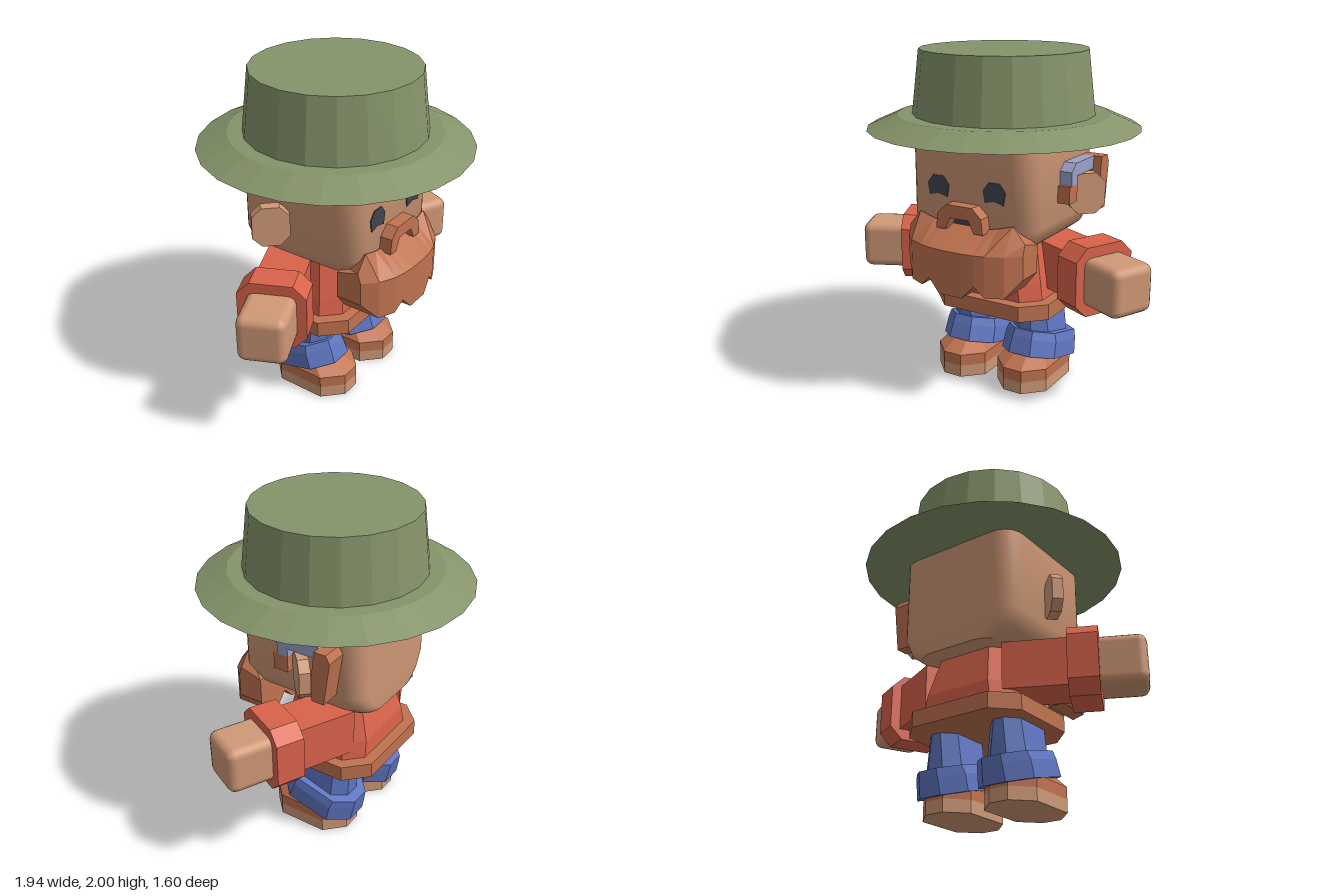
import * as THREE from 'three';
import { toCreasedNormals } from 'three/addons/utils/BufferGeometryUtils.js';
import { RoundedBoxGeometry } from 'three/addons/geometries/RoundedBoxGeometry.js';

const V = (x, y, z) => new THREE.Vector3(x, y, z);

function material(name, color) {
  const m = new THREE.MeshStandardMaterial({ color });
  m.name = name;
  return m;
}

// Horizontal rectangle with cut (seg 1) or rounded corners
function ring(y, x0, x1, z0, z1, c, seg = 1) {
  const pts = [];
  const corners = [[x1 - c, z1 - c], [x0 + c, z1 - c], [x0 + c, z0 + c], [x1 - c, z0 + c]];
  corners.forEach(([cx, cz], k) => {
    for (let i = 0; i <= seg; i++) {
      const a = (k + i / seg) * Math.PI / 2;
      pts.push(V(cx + c * Math.cos(a), y, cz + c * Math.sin(a)));
    }
  });
  return pts;
}

function circle(y, r, n) {
  return Array.from({ length: n }, (_, i) => {
    const a = i / n * Math.PI * 2;
    return V(r * Math.cos(a), y, r * Math.sin(a));
  });
}

// Closed flat-shaded skin over stacked loops
function loft(rings) {
  const out = [];
  const tri = (...ps) => ps.forEach(p => out.push(p.x, p.y, p.z));
  const n = rings[0].length;
  const mid = r => r.reduce((s, p) => s.add(p), V(0, 0, 0)).divideScalar(n);
  const last = rings[rings.length - 1];
  const cLow = mid(rings[0]), cHigh = mid(last);
  for (let i = 0; i < n; i++) {
    const j = (i + 1) % n;
    for (let k = 0; k + 1 < rings.length; k++) {
      const a = rings[k], b = rings[k + 1];
      tri(a[i], b[i], b[j]);
      tri(a[i], b[j], a[j]);
    }
    tri(cLow, rings[0][i], rings[0][j]);
    tri(cHigh, last[j], last[i]);
  }
  const g = new THREE.BufferGeometry();
  g.setAttribute('position', new THREE.Float32BufferAttribute(out, 3));
  g.computeVertexNormals();
  return g;
}

function plate(pts, depth) {
  const shape = new THREE.Shape(pts.map(p => new THREE.Vector2(...p)));
  return new THREE.ExtrudeGeometry(shape, { depth, bevelEnabled: false });
}

export function createModel() {
  const hatGreen = material('hatGreen', 0x85946a);
  const skin = material('skin', 0xcf9876);
  const red = material('shirtRed', 0xd9634b);
  const brown = material('beardBrown', 0xc07350);
  const blue = material('trouserBlue', 0x5f76c2);
  const lavender = material('deviceLavender', 0x9ca2c8);
  const dark = material('faceDark', 0x42454e);

  const model = new THREE.Group();
  const add = (name, geo, mat, parent = model) => {
    const m = new THREE.Mesh(geo, mat);
    m.name = name;
    parent.add(m);
    return m;
  };

  // Hat
  add('hatBrim', loft([circle(1.55, 0.8, 24), circle(1.63, 0.62, 24)]), hatGreen);
  add('hatCrown', loft([circle(1.62, 0.535, 20), circle(2, 0.49, 20)]), hatGreen);

  // Head, tucked in at the jaw and straight at the back
  add('head', toCreasedNormals(loft([
    ring(0.89, -0.28, 0.28, -0.41, 0.28, 0.13, 5),
    ring(0.95, -0.36, 0.36, -0.41, 0.36, 0.13, 5),
    ring(1.05, -0.41, 0.41, -0.41, 0.41, 0.13, 5),
    ring(1.57, -0.41, 0.41, -0.41, 0.41, 0.13, 5),
  ]), 0.7), skin);

  // Eyes
  const eye = [[-0.06, -0.06], [-0.03, -0.052], [0, -0.045], [0.03, -0.052], [0.06, -0.06],
    [0.072, 0.012], [0.035, 0.06], [-0.035, 0.06], [-0.072, 0.012]].reverse();
  for (const s of [-1, 1]) {
    add('eye', plate(eye, 0.008), dark).position.set(s * 0.185, 1.255, 0.408);
  }

  // Mouth and moustache
  add('mouth', plate([[-0.1, 1.03], [0.1, 1.03], [0.065, 1.11], [-0.065, 1.11]], 0.008), dark)
    .position.z = 0.41;
  add('moustache', plate([[-0.155, 1.03], [-0.095, 1.03], [-0.06, 1.1], [0.06, 1.1], [0.095, 1.03],
    [0.155, 1.03], [0.145, 1.12], [0.085, 1.175], [-0.085, 1.175], [-0.145, 1.12]], 0.085), brown)
    .position.z = 0.4;

  // Beard: columns of x, top, bottom and front depth
  const half = [[0.075, 1.05, 0.68, 0.585], [0.15, 1.05, 0.76, 0.575], [0.21, 1.06, 0.7, 0.56],
    [0.31, 1.09, 0.7, 0.515], [0.385, 1.0, 0.8, 0.44]];
  const columns = [...half.map(([x, ...r]) => [-x, ...r]).reverse(), ...half];
  add('beard', loft(columns.map(([x, top, low, z]) => [
    V(x, 0.94, z), V(x, top, 0.42), V(x, Math.min(top, 0.96), 0.28), V(x, low, 0.28), V(x, low, z),
  ])), brown);

  // Torso and belt
  add('torso', loft([
    ring(0.54, -0.33, 0.33, -0.355, 0.21, 0.1),
    ring(0.66, -0.31, 0.31, -0.35, 0.2, 0.1),
    ring(0.95, -0.25, 0.25, -0.27, 0.15, 0.09),
  ]), red);
  add('belt', loft([0.46, 0.555].map(y => ring(y, -0.39, 0.39, -0.42, 0.275, 0.13))), brown);

  for (const s of [-1, 1]) {
    // Arm, reaching out and slightly forward
    const arm = new THREE.Group();
    arm.name = s > 0 ? 'leftArm' : 'rightArm';
    arm.position.set(s * 0.615, 0.745, 0.017);
    arm.rotation.y = -s * 0.44;
    model.add(arm);
    add('sleeve', new THREE.BoxGeometry(0.46, 0.28, 0.28), red, arm).position.x = -s * 0.22;
    add('sleeveCuff', loft([-0.085, 0.085].map(y => ring(y, -0.205, 0.205, -0.2, 0.2, 0.075)))
      .rotateZ(Math.PI / 2), red, arm);
    add('hand', new RoundedBoxGeometry(0.31, 0.285, 0.285, 2, 0.05), skin, arm).position.x = s * 0.19;

    // Leg with a tilted trouser cuff
    const leg = new THREE.Group();
    leg.name = s > 0 ? 'leftLeg' : 'rightLeg';
    leg.position.x = s * 0.215;
    model.add(leg);
    add('trouserLeg', loft([
      ring(0.17, -0.14, 0.14, -0.26, 0.115, 0.08),
      ring(0.47, -0.1, 0.1, -0.26, 0.115, 0.07),
    ]), blue, leg);
    const cuff = add('trouserCuff', loft([
      ring(-0.075, -0.182, 0.182, -0.25, 0.25, 0.11),
      ring(0.025, -0.175, 0.175, -0.245, 0.24, 0.11),
      ring(0.075, -0.16, 0.16, -0.24, 0.23, 0.1),
    ]), blue, leg);
    cuff.position.set(0.003, 0.222, -0.07);
    cuff.rotation.x = -0.26;

    // Shoe
    add('shoeSole', loft([0, 0.075].map(y => ring(y, -0.17, 0.17, -0.26, 0.265, 0.11))), skin, leg);
    add('shoeUpper', loft([
      ring(0.075, -0.17, 0.17, -0.26, 0.265, 0.11),
      ring(0.145, -0.17, 0.17, -0.26, 0.265, 0.11),
      ring(0.21, -0.12, 0.12, -0.22, 0.155, 0.08),
    ]), brown, leg);

    // Ear, a chamfered slab turned outward
    const ear = add('ear', loft([-0.032, 0.032].map(y => ring(y, -0.107, 0.107, -0.12, 0.12, 0.055)))
      .rotateX(Math.PI / 2), skin);
    ear.position.set(s * 0.492, 1.19, -0.098);
    ear.rotation.y = s * Math.PI / 4;
  }

  // Hearing device on the left ear, drawn in (z, y) and extruded inward
  const sidePart = (name, pts, outerX, mat) =>
    add(name, plate(pts, outerX - 0.4).rotateY(-Math.PI / 2), mat).position.x = outerX;
  sidePart('deviceTube', [[0.07, 1.26], [0.07, 1.34], [0.02, 1.385], [-0.22, 1.385], [-0.22, 1.31],
    [0, 1.31], [0, 1.26]], 0.485, lavender);
  sidePart('deviceTip', [[0, 1.16], [0.095, 1.16], [0.095, 1.26], [0, 1.26]], 0.485, brown);
  sidePart('deviceBody', [[-0.19, 1.07], [-0.19, 1.22], [-0.21, 1.385], [-0.285, 1.385],
    [-0.31, 1.34], [-0.27, 1.07]], 0.535, brown);

  return model;
}
